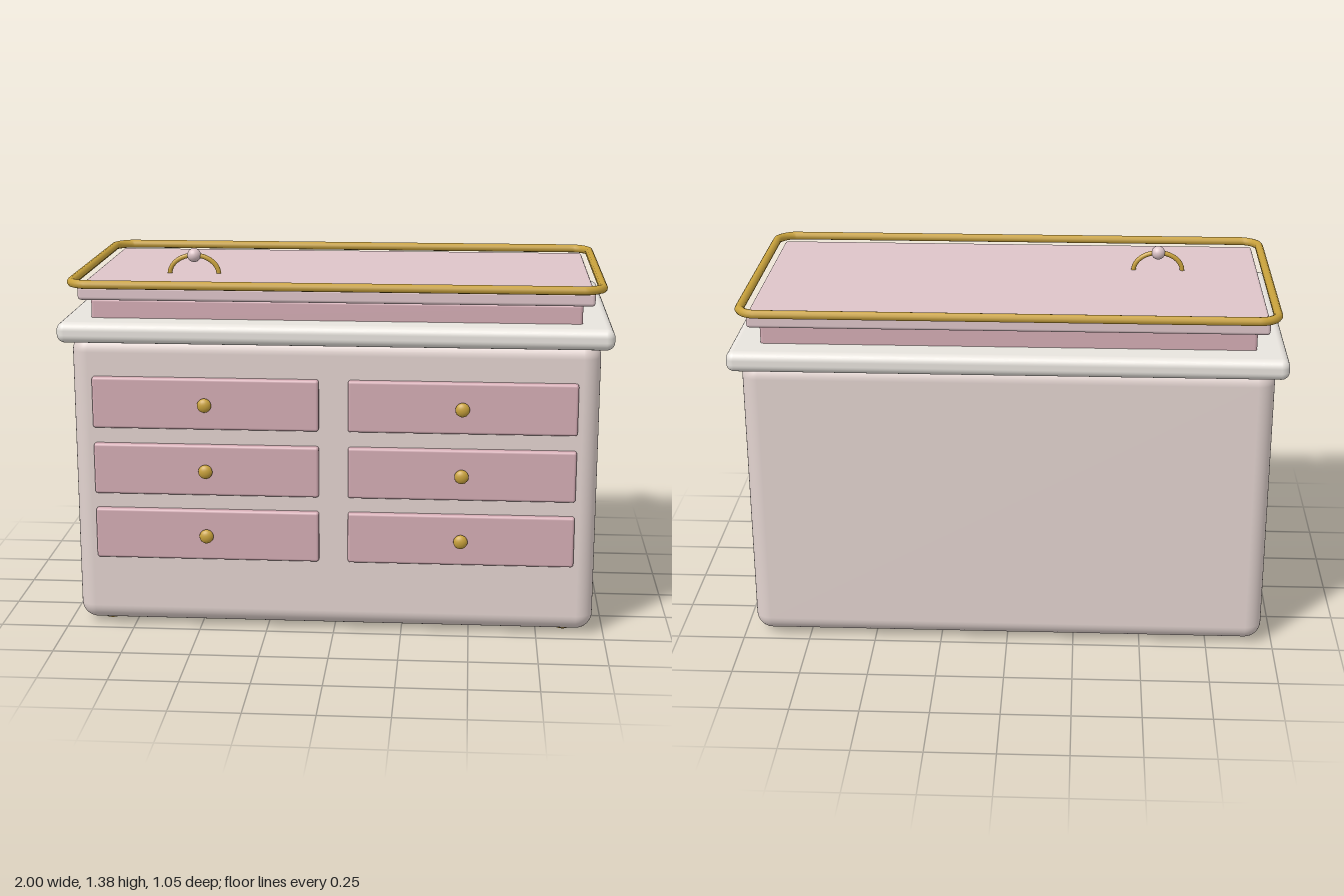
import * as THREE from 'three';
import { RoundedBoxGeometry } from 'three/addons/geometries/RoundedBoxGeometry.js';

const paint = (color) => new THREE.MeshStandardMaterial({ color });
const MID_Z = -0.004;

export function createModel() {
  const model = new THREE.Group();
  const cream = paint(0xe2d3cf), stone = paint(0xe8e4de), rose = paint(0xd4acb4);
  const blush = paint(0xdec5c9), gold = paint(0xc9a23c);

  const add = (name, geometry, material, x = 0, y = 0, z = 0) => {
    const mesh = new THREE.Mesh(geometry, material);
    mesh.name = name;
    mesh.position.set(x, y, z);
    model.add(mesh);
    return mesh;
  };

  // Rounded block given by its bottom and top heights
  const block = (name, w, y0, y1, d, radius, material) =>
    add(name, new RoundedBoxGeometry(w, y1 - y0, d, 5, radius), material, 0, (y0 + y1) / 2, MID_Z);

  // Cabinet, worktop and stepped lid
  block('cabinetBody', 1.916, 0.016, 1.11, 0.958, 0.062, cream);
  block('worktop', 2, 1.087, 1.163, 1.04, 0.03, stone);
  block('lidBase', 1.78, 1.15, 1.234, 0.82, 0.012, rose);
  block('lidPanel', 1.86, 1.234, 1.284, 0.9, 0.012, blush);

  // Drawers in two columns of three, each with a flattened knob
  const drawer = new RoundedBoxGeometry(0.826, 0.19, 0.04, 4, 0.01);
  const knob = new THREE.SphereGeometry(0.026, 20, 14).scale(1, 1, 0.66);
  for (const x of [-0.466, 0.466]) {
    for (const y of [0.866, 0.617, 0.37]) {
      add('drawer', drawer, rose, x, y, 0.477);
      add('drawerKnob', knob, gold, x, y, 0.512);
    }
  }

  // Small feet under the corners
  const foot = new THREE.SphereGeometry(0.037, 20, 12).scale(1, 0.5, 1);
  for (const x of [-0.85, 0.85]) {
    for (const z of [-0.385, 0.385]) add('foot', foot, gold, x, 0.0185, z + MID_Z);
  }

  // Gold rail: a round bar following a rounded rectangle
  const hx = 0.957, hz = 0.479, r = 0.06;
  const path = new THREE.CurvePath();
  const corners = [[1, 1], [-1, 1], [-1, -1], [1, -1]];
  const point = (x, z) => new THREE.Vector3(x, 0, z);
  corners.forEach(([sx, sz], i) => {
    const alongX = i % 2 === 0;
    const a = point(sx * hx, sz * (hz - r)), b = point(sx * (hx - r), sz * hz);
    const [start, end] = alongX ? [a, b] : [b, a];
    path.add(new THREE.QuadraticBezierCurve3(start, point(sx * (hx - 0.012), sz * (hz - 0.012)), end));
    const [nx, nz] = corners[(i + 1) % 4];
    const next = alongX ? point(nx * (hx - r), nz * hz) : point(nx * hx, nz * (hz - r));
    path.add(new THREE.LineCurve3(end, next));
  });
  add('lidRail', new THREE.TubeGeometry(path, 400, 0.016, 10, true), gold, 0, 1.297, MID_Z);

  // Arched lid handle with a bead at its crown
  const arch = [];
  for (let i = 0; i <= 12; i++) {
    const t = (i / 12) * Math.PI;
    arch.push(new THREE.Vector3(0.093 * Math.cos(t), 0.072 * Math.sin(t), 0));
  }
  const handle = new THREE.TubeGeometry(new THREE.CatmullRomCurve3(arch), 32, 0.009, 10);
  add('lidHandle', handle, gold, -0.55, 1.28, 0.13);
  add('handleBead', new THREE.SphereGeometry(0.026, 20, 14), blush, -0.55, 1.352, 0.13);

  return model;
}
